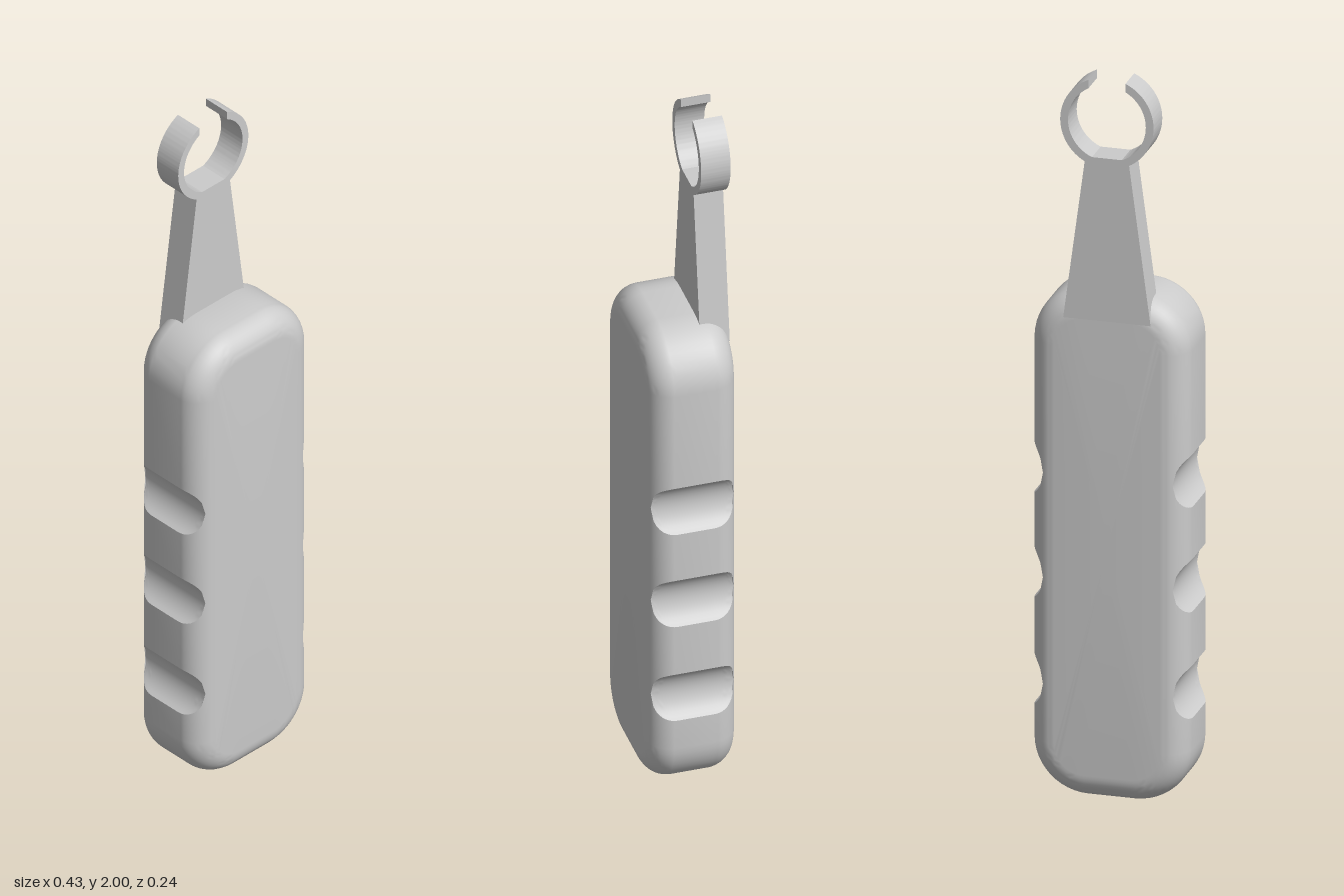
import * as THREE from 'three';
import { toCreasedNormals } from 'three/addons/utils/BufferGeometryUtils.js';

const W = 0.213, H = 1.405, D = 0.12;      // handle half width, height, half depth
const CORNER = 0.15, EDGE = 0.07;          // outline corner radius, edge rounding
const NOTCH_X = 0.264, NOTCH_R = 0.089;    // finger groove centre and radius
const NOTCH_YS = [0.31, 0.605, 0.895];

// Handle outline shrunk by d, counter-clockwise, with the grooves cut into both sides
function outline(d) {
  const right = [];
  const corner = (cy, start) => {
    for (let i = 0; i <= 12; i++) {
      const a = start + (i / 12) * Math.PI / 2;
      right.push([W - CORNER + (CORNER - d) * Math.cos(a), cy + (CORNER - d) * Math.sin(a)]);
    }
  };
  corner(CORNER, -Math.PI / 2);
  const x = W - d;
  const half = Math.acos(Math.min(1, (NOTCH_X - x) / NOTCH_R)); // zero where the groove runs out
  for (const y of NOTCH_YS) {
    for (let i = 0; i <= 14; i++) {
      const a = half * (i / 7 - 1);
      right.push([Math.min(x, NOTCH_X - NOTCH_R * Math.cos(a)), y + NOTCH_R * Math.sin(a)]);
    }
  }
  corner(H - CORNER, 0);
  return [...right, ...right.map(([px, py]) => [-px, py]).reverse()];
}

// Handle: outlines stacked from back to front, following the rounded edge
function handleGeometry() {
  const grooveEnd = Math.acos(1 - (W - NOTCH_X + NOTCH_R) / EDGE);
  const angles = [];
  for (let i = 0; i <= 8; i++) angles.push(grooveEnd * i / 8);
  for (let i = 1; i <= 4; i++) angles.push(grooveEnd + (Math.PI / 2 - grooveEnd) * i / 4);
  const front = angles.map(a => [D - EDGE + EDGE * Math.sin(a), EDGE * (1 - Math.cos(a))]);
  const layers = [...front.map(([z, d]) => [-z, d]).reverse(), ...front];

  const pos = [], index = [];
  let n = 0;
  for (const [z, d] of layers) {
    const pts = outline(d);
    n = pts.length;
    for (const [x, y] of pts) pos.push(x, y, z);
  }
  const last = (layers.length - 1) * n, back = layers.length * n;
  pos.push(0, H / 2, -D, 0, H / 2, D);
  for (let j = 0; j < n; j++) {
    const j2 = (j + 1) % n;
    for (let k = 0; k < last; k += n) {
      index.push(k + j, k + j2, k + n + j2, k + j, k + n + j2, k + n + j);
    }
    index.push(back, j2, j, back + 1, last + j, last + j2);
  }
  const geo = new THREE.BufferGeometry();
  geo.setAttribute('position', new THREE.Float32BufferAttribute(pos, 3));
  geo.setIndex(index);
  return toCreasedNormals(geo, 0.4);
}

// Tapered neck ending in an open ring, in one outline
function clipGeometry() {
  const cy = 1.884, outer = 0.126, inner = 0.105, gap = 0.05, neck = 0.06;
  const flat = 0.097; // flat seat at the bottom of the ring
  const s = new THREE.Shape();
  s.moveTo(-0.118, 1.335);
  s.lineTo(0.118, 1.335);
  const o0 = -Math.acos(neck / outer), o1 = Math.acos(gap / outer);
  s.absarc(0, cy, outer, o0, o1, false);
  const i1 = Math.acos(gap / inner), i0 = -Math.asin(flat / inner);
  s.absarc(0, cy, inner, i1, i0, true);
  s.absarc(0, cy, inner, -Math.PI - i0, -Math.PI - i1, true);
  s.absarc(0, cy, outer, Math.PI - o1, Math.PI - o0, false);
  s.closePath();
  const geo = new THREE.ExtrudeGeometry(s, { depth: 0.08, bevelEnabled: false, curveSegments: 32 });
  geo.translate(0, 0, -D);
  return toCreasedNormals(geo, 0.4);
}

export function createModel() {
  const group = new THREE.Group();
  const material = new THREE.MeshStandardMaterial({ color: 0xcccccc });
  const add = (name, geo) => {
    const mesh = new THREE.Mesh(geo, material);
    mesh.name = name;
    group.add(mesh);
  };
  add('handle', handleGeometry());
  add('neckAndOpenRing', clipGeometry());
  return group;
}
